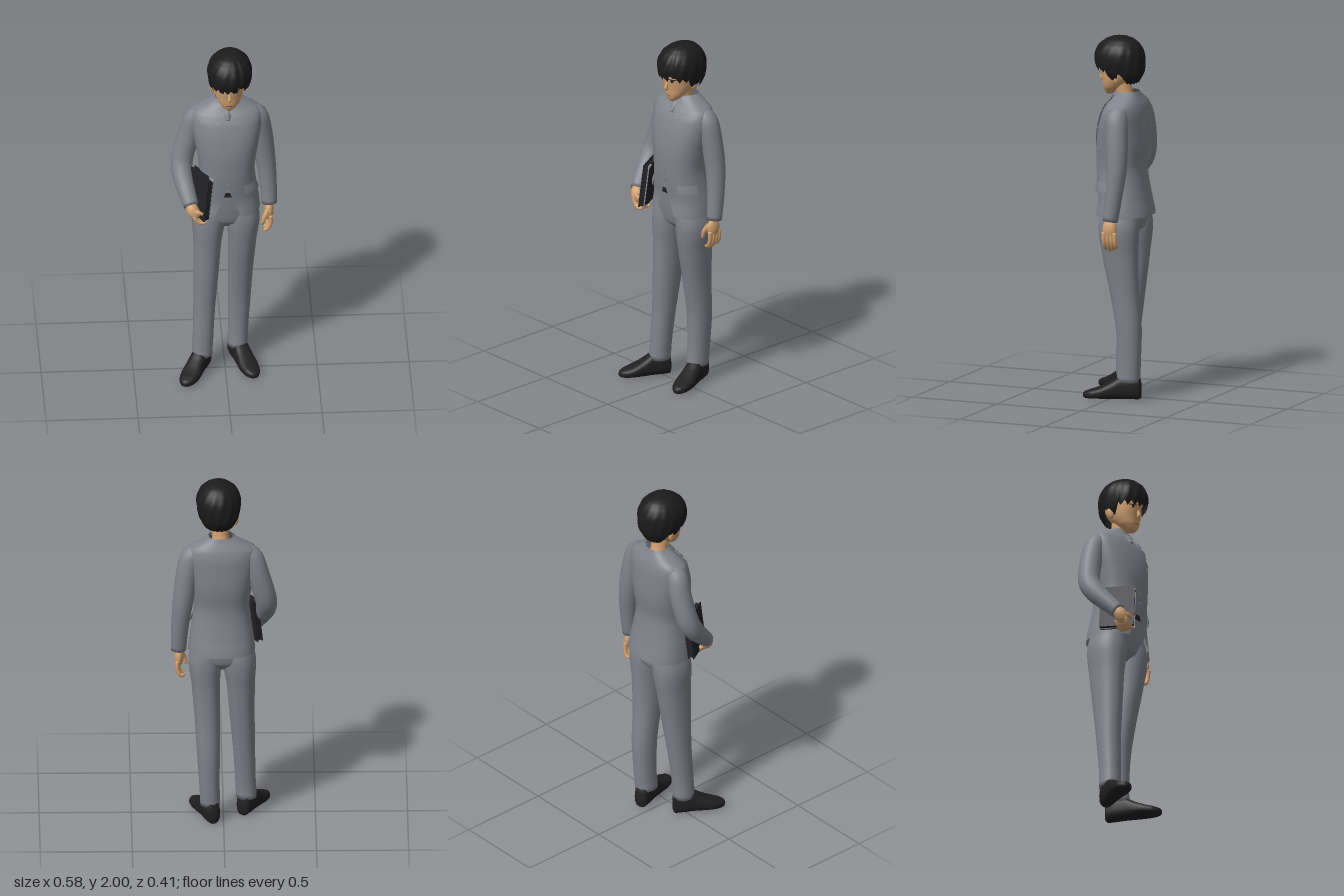
import * as THREE from 'three';

const mat = (name, color, side = THREE.FrontSide) => {
  const m = new THREE.MeshStandardMaterial({ color, side });
  m.name = name;
  return m;
};

// smooth interpolation through rows at fractional index f
function spline(rows, f) {
  const k = Math.min(Math.floor(f), rows.length - 2), t = f - k;
  const at = (i) => rows[Math.max(0, Math.min(rows.length - 1, i))];
  return rows[0].map((_, c) => {
    const a = at(k - 1)[c], b = at(k)[c], d = at(k + 1)[c], e = at(k + 2)[c];
    return b + 0.5 * t * (d - a + t * (2 * a - 5 * b + 4 * d - e + t * (3 * (b - d) + e - a)));
  });
}

// section [y, cx, cz, rx, rz] of a row table at height y
function section(rows, y) {
  let k = 0;
  while (k < rows.length - 2 && y > rows[k + 1][0]) k++;
  const t = (y - rows[k][0]) / (rows[k + 1][0] - rows[k][0]);
  return spline(rows, k + Math.max(0, Math.min(1, t)));
}

// surface from a grid of points, optionally closed around each ring
function grid(rings, closed) {
  const n = rings[0].length, pos = [], idx = [];
  rings.forEach((r) => r.forEach((p) => pos.push(p.x, p.y, p.z)));
  for (let j = 0; j < rings.length - 1; j++) {
    for (let i = 0; i < (closed ? n : n - 1); i++) {
      const a = j * n + i, b = j * n + (i + 1) % n;
      idx.push(a, a + n, b, b, a + n, b + n);
    }
  }
  const g = new THREE.BufferGeometry();
  g.setAttribute('position', new THREE.Float32BufferAttribute(pos, 3));
  g.setIndex(idx);
  g.computeVertexNormals();
  return g;
}

const sgnPow = (v, p) => Math.sign(v) * Math.pow(Math.abs(v), p);

// point on a table-defined body at angle a (front = PI/2)
function bodyPoint(rows, n, a, y, lift = 0, scale = 1) {
  const [, cx, cz, rx, rz] = section(rows, y);
  return new THREE.Vector3(
    cx + (Math.max(rx, 0) * scale + lift) * sgnPow(Math.cos(a), 2 / n), y,
    cz + (Math.max(rz, 0) * scale + lift) * sgnPow(Math.sin(a), 2 / n));
}

// stacked rings with an optional shaped hem and surface ripple
function loft(rows, { n = 2, seg = 40, steps = 40, hem, bump, cap } = {}) {
  const y0 = rows[0][0], y1 = rows[rows.length - 1][0], rings = [];
  const ring = (t, s) => Array.from({ length: seg }, (_, i) => {
    const a = i / seg * Math.PI * 2, base = hem ? hem(a) : y0, y = base + (y1 - base) * t;
    return bodyPoint(rows, n, a, y, 0, s * (bump ? bump(a, y) : 1));
  });
  if (cap) rings.push(ring(0, 0.001));
  for (let j = 0; j <= steps; j++) rings.push(ring(j / steps, 1));
  if (cap) rings.push(ring(1, 0.001));
  return grid(rings, true);
}

// round limb along [x, y, z, radius] points
function limb(pts, steps = 24, seg = 18) {
  const rings = [], last = pts.length - 1;
  for (let j = -1; j <= steps + 1; j++) {
    const f = Math.max(0, Math.min(steps, j)) / steps * last;
    const p = spline(pts, f), q0 = spline(pts, Math.max(0, f - 0.02)), q1 = spline(pts, Math.min(last, f + 0.02));
    const t = new THREE.Vector3(q1[0] - q0[0], q1[1] - q0[1], q1[2] - q0[2]).normalize();
    const v = new THREE.Vector3(0, 0, 1).addScaledVector(t, -t.z).normalize();
    const u = t.clone().cross(v), r = j < 0 || j > steps ? 0.0005 : p[3];
    rings.push(Array.from({ length: seg }, (_, i) => {
      const a = i / seg * Math.PI * 2;
      return new THREE.Vector3(p[0], p[1], p[2]).addScaledVector(u, Math.cos(a) * r).addScaledVector(v, Math.sin(a) * r);
    }));
  }
  return grid(rings, true);
}

// thin panel on the front of a body, between two [x, y] edge lines running upward
function panel(rows, n, left, right, lift) {
  const rings = [];
  for (let j = 0; j <= 16; j++) {
    const f = j / 16 * (left.length - 1), k = Math.min(Math.floor(f), left.length - 2), t = f - k;
    const mix = (l, c) => l[k][c] + (l[k + 1][c] - l[k][c]) * t;
    rings.push(Array.from({ length: 9 }, (_, i) => {
      const s = i / 8, x = mix(right, 0) * (1 - s) + mix(left, 0) * s, y = mix(right, 1) * (1 - s) + mix(left, 1) * s;
      const [, cx, cz, rx, rz] = section(rows, y), c = Math.min(1, Math.abs((x - cx) / rx));
      return new THREE.Vector3(x, y, cz + rz * Math.pow(1 - Math.pow(c, n), 1 / n) + lift);
    }));
  }
  return grid(rings, false);
}

export function createModel() {
  const model = new THREE.Group();
  const suit = mat('suit grey', 0x7f828a, THREE.DoubleSide);
  const skin = mat('skin', 0xcf9f70, THREE.DoubleSide);
  const hairMat = mat('hair black', 0x1b1b1c, THREE.DoubleSide);
  const leather = mat('shoe black', 0x211f1f);
  const folderMat = mat('folder black', 0x222226);
  const silver = mat('folder trim', 0x8f949c);
  const ink = mat('eye dark', 0x2a2320, THREE.DoubleSide);
  const add = (name, geo, material, parent = model) => {
    const m = new THREE.Mesh(geo, material);
    m.name = name;
    parent.add(m);
    return m;
  };

  // jacket with cutaway front hem
  const T = [[1.015, .01, -.05, .182, .149], [1.1, .01, -.047, .172, .135], [1.2, .01, -.034, .158, .131],
    [1.28, .01, -.028, .152, .13], [1.4, .01, -.035, .168, .135], [1.5, .01, -.042, .185, .126],
    [1.58, .01, -.052, .192, .111], [1.625, .01, -.06, .18, .092], [1.655, .012, -.066, .13, .073], [1.695, .015, -.068, .065, .055]];
  const TN = 2.35;
  const jacketHem = (a) => {
    if (Math.sin(a) <= 0) return 1.015;
    const x = Math.abs(bodyPoint(T, TN, a, 1.1).x - .01);
    return 1.015 + .2 * Math.pow(Math.max(0, 1 - x / .075), 1.3);
  };
  add('jacket', loft(T, { n: TN, seg: 96, steps: 48, hem: jacketHem }), suit);

  // lapels, shirt collar points and pocket flaps, mirrored about x = 0.012
  for (const s of [1, -1]) {
    const side = s > 0 ? 'left' : 'right';
    const P = (l) => l.map(([x, y]) => [.012 + s * x, y]);
    const pair = (inner, outer, lift) => (s > 0 ? panel(T, TN, P(inner), P(outer), lift) : panel(T, TN, P(outer), P(inner), lift));
    add(side + 'Lapel', pair([[.002, 1.3], [.022, 1.45], [.042, 1.58]], [[.01, 1.31], [.075, 1.47], [.115, 1.595]], .009), suit);
    add(side + 'JacketCollar', pair([[.042, 1.58], [.05, 1.64], [.05, 1.69]], [[.09, 1.6], [.092, 1.635], [.062, 1.69]], .012), suit);
    add(side + 'ShirtCollar', pair([[.012, 1.64], [.006, 1.665], [.03, 1.695]], [[.035, 1.615], [.052, 1.655], [.055, 1.695]], .014), suit);
    const flap = [1.15, 1.165, 1.205].map((y, j) => Array.from({ length: 12 }, (_, i) => {
      const a = .2 + i / 11 * .85;
      return bodyPoint(T, TN, s > 0 ? a : Math.PI - a, y, j < 2 ? .011 : .002);
    }));
    add(side + 'PocketFlap', grid(flap, false), suit);
  }
  add('breastPocket', panel(T, TN, [[.1, 1.485], [.1, 1.505]], [[.15, 1.495], [.15, 1.515]], .006), suit);
  add('tie', panel(T, TN, [[.004, 1.32], [-.014, 1.44], [.002, 1.6]], [[.02, 1.32], [.038, 1.44], [.022, 1.6]], .005), suit);
  add('tieKnot', limb([[.012, 1.655, -.005, .02], [.012, 1.635, .018, .02], [.012, 1.6, .045, .012]], 8), suit);
  for (const y of [1.285, 1.225]) {
    const b = add('jacketButton', new THREE.CylinderGeometry(.008, .008, .006, 16), suit);
    b.rotation.x = Math.PI / 2;
    b.position.set(.016, y, .102);
  }

  // trousers and belt
  const pelvis = [[.91, .008, -.05, .04, .06], [.95, .008, -.05, .14, .1], [1.02, .008, -.048, .168, .113],
    [1.1, .01, -.042, .158, .115], [1.16, .01, -.038, .145, .115], [1.3, .01, -.035, .13, .11]];
  add('trouserSeat', loft(pelvis, { n: 2.3, cap: true }), suit);
  add('belt', loft([[1.135, .01, -.04, .155, .122], [1.165, .01, -.038, .15, .122]], { n: 2.3, steps: 2 }), leather);
  const legs = {
    right: [[.1, -.125, .003, .056, .06], [.2, -.12, 0, .056, .06], [.4, -.112, -.016, .06, .068], [.6, -.102, -.03, .068, .084],
      [.8, -.094, -.042, .077, .1], [.95, -.085, -.048, .092, .112], [1.06, -.075, -.048, .08, .1]],
    left: [[.1, .073, -.092, .055, .064], [.2, .076, -.098, .055, .064], [.4, .082, -.098, .062, .071], [.6, .088, -.075, .068, .081],
      [.8, .096, -.054, .077, .1], [.95, .1, -.048, .09, .112], [1.06, .09, -.048, .08, .1]],
  };
  for (const side in legs) add(side + 'Leg', loft(legs[side], { n: 2.2, cap: true }), suit);

  // shoes: lofted heel to toe, then laid down
  const shoeRows = [[-.052, 0, -.05, .02, .04], [-.045, 0, -.062, .036, .06], [0, 0, -.068, .045, .066], [.05, 0, -.066, .046, .064],
    [.1, 0, -.05, .05, .048], [.15, 0, -.037, .053, .034], [.2, 0, -.028, .044, .025], [.228, 0, -.024, .026, .018], [.236, 0, -.022, .01, .01]];
  for (const [side, x, z, turn, len] of [['right', -.125, -.005, -.48, 1], ['left', .07, -.105, .34, 1.1]]) {
    const geo = loft(shoeRows, { n: 2.6, cap: true });
    geo.rotateX(Math.PI / 2);
    const shoe = add(side + 'Shoe', geo, leather);
    shoe.position.set(x, .002, z);
    shoe.rotation.y = turn;
    shoe.scale.z = len;
  }

  // sleeves
  add('leftSleeve', limb([[.11, 1.585, -.065, .05], [.172, 1.572, -.068, .06], [.2, 1.46, -.08, .06],
    [.22, 1.31, -.088, .056], [.236, 1.16, -.078, .048], [.244, 1.012, -.06, .042]]), suit);
  add('rightSleeve', limb([[-.09, 1.585, -.065, .05], [-.15, 1.572, -.068, .06], [-.19, 1.46, -.075, .061],
    [-.228, 1.32, -.06, .06], [-.232, 1.24, -.018, .056], [-.212, 1.165, .05, .048], [-.19, 1.105, .108, .041]]), suit);

  // left hand, hanging
  const leftHand = new THREE.Group();
  leftHand.name = 'leftHand';
  model.add(leftHand);
  const lp = add('leftPalm', new THREE.SphereGeometry(1, 20, 14), skin, leftHand);
  lp.scale.set(.025, .056, .041);
  lp.position.set(.242, .965, -.055);
  [-.022, -.044, -.066, -.086].forEach((z, i) => {
    const drop = [.855, .843, .85, .872][i];
    add('leftFinger', limb([[.25, .95, z, .012], [.25, .905, z - .003, .012], [.236, .87, z - .004, .011], [.215, drop, z - .002, .008]], 10, 10), skin, leftHand);
  });
  add('leftThumb', limb([[.235, .985, -.03, .015], [.215, .945, -.012, .013], [.203, .905, -.012, .009]], 8, 10), skin, leftHand);

  // right hand, gripping the folder
  const rightHand = new THREE.Group();
  rightHand.name = 'rightHand';
  model.add(rightHand);
  add('rightPalm', limb([[-.196, 1.118, .095, .026], [-.185, 1.09, .117, .034], [-.168, 1.06, .125, .032], [-.158, 1.045, .125, .018]], 12, 16), skin, rightHand);
  for (let i = 0; i < 4; i++) {
    const z = .146 - i * .02;
    add('rightFinger', limb([[-.178, 1.062, z, .012], [-.16, 1.032, z + .002, .012], [-.135, 1.019, z + .003, .011], [-.112, 1.024, z + .003, .008]], 10, 10), skin, rightHand);
  }
  add('rightThumb', limb([[-.18, 1.09, .13, .014], [-.155, 1.085, .148, .012], [-.128, 1.075, .152, .008]], 8, 10), skin, rightHand);

  // folder
  const folder = new THREE.Group();
  folder.name = 'folder';
  folder.position.set(-.142, 1.155, .066);
  folder.rotation.set(0, .5, -.12);
  model.add(folder);
  for (const s of [1, -1]) add('folderCover', new THREE.BoxGeometry(.006, .25, .19), folderMat, folder).position.x = s * .014;
  add('folderPages', new THREE.BoxGeometry(.024, .236, .182), folderMat, folder);
  for (const y of [.121, -.121]) add('folderCorner', new THREE.BoxGeometry(.009, .01, .04), silver, folder).position.set(.015, y, .077);
  add('folderTrim', new THREE.BoxGeometry(.005, .25, .008), silver, folder).position.set(.0155, 0, .0925);

  // neck, face, nose and ears
  add('neck', limb([[.015, 1.62, -.062, .05], [.017, 1.68, -.045, .046], [.02, 1.76, -.03, .05]], 10, 24), skin);
  const H = [[1.672, .02, .042, .012, .014], [1.685, .02, .034, .032, .032], [1.715, .02, .017, .058, .058], [1.755, .02, -.003, .076, .083],
    [1.8, .02, -.014, .085, .102], [1.85, .022, -.018, .09, .108], [1.91, .024, -.02, .08, .095], [1.96, .025, -.02, .04, .05]];
  add('head', loft(H, { n: 2.1, cap: true }), skin);
  add('nose', limb([[.02, 1.795, .08, .006], [.02, 1.772, .089, .009], [.02, 1.757, .09, .011], [.02, 1.75, .08, .007]], 10, 12), skin);
  for (const s of [1, -1]) {
    const ear = add('ear', new THREE.SphereGeometry(1, 16, 12), skin);
    ear.scale.set(.012, .034, .021);
    ear.position.set(.02 + s * .09, 1.778, -.035);
    ear.rotation.set(-.15, s * -.3, s * -.12);
    const box = (x0, x1, y0, y1) => panel(H, 2.1, [[x0, y0], [x0, y1]], [[x1, y0], [x1, y1]], .002);
    const c = .02 + s * .038;
    add('eyelash', box(c - .019, c + .019, 1.812, 1.817), ink);
    add('iris', box(c - .007, c + .007, 1.797, 1.813), ink);
  }
  add('mouth', panel(H, 2.1, [[.004, 1.713], [.004, 1.7155]], [[.036, 1.713], [.036, 1.7155]], .002), ink);

  // hair with jagged fringe, sidelocks and a parting groove
  const R = [[1.73, .022, -.055, .062, .062], [1.76, .024, -.043, .088, .092], [1.8, .025, -.028, .108, .128], [1.86, .026, -.02, .12, .142],
    [1.91, .026, -.02, .118, .135], [1.95, .027, -.021, .1, .114], [1.98, .028, -.024, .068, .08], [1.995, .029, -.025, .035, .042], [2, .03, -.025, .002, .002]];
  const hairHem = (a) => {
    const f = Math.sin(a), saw = Math.abs(((a * 3.2) % 1) - .5) * 2;
    const part = .03 * Math.exp(-Math.pow((a - 1.12) / .14, 2));
    if (f > .35) return 1.803 + .028 * saw + part;
    if (f > 0) return 1.757 + .035 * saw * f;
    if (f > -.5) return 1.757 + .045 * Math.exp(-Math.pow((f + .22) / .16, 2));
    return 1.738 + .01 * saw;
  };
  const strands = (a, y) => 1 + .012 * Math.sin(a * 14 + y * 30) * Math.min(1, (2 - y) * 12)
    - .05 * Math.exp(-Math.pow((a - 1.12) / .12, 2));
  add('hair', loft(R, { n: 2.1, seg: 120, steps: 40, hem: hairHem, bump: strands }), hairMat);

  return model;
}
